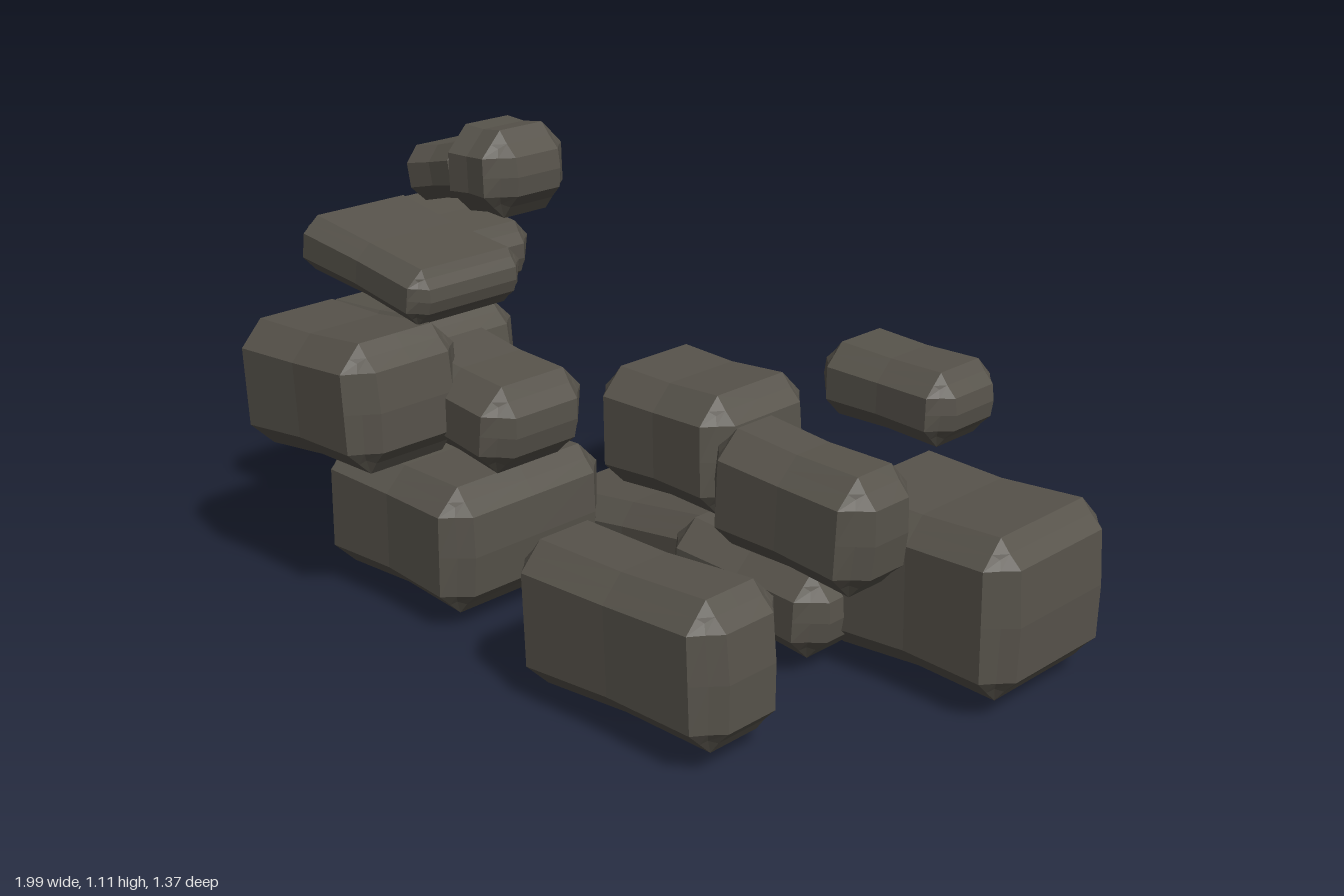
import * as THREE from 'three';

const stoneGrey = new THREE.MeshStandardMaterial({ color: 0x57534b, flatShading: true });
stoneGrey.name = 'stoneGrey';

// Chamfered block, slightly pinched across its middle and bulged at its ends
function stoneGeometry(w, h, d) {
  const half = [w / 2, h / 2, d / 2];
  const c = Math.min(0.06, Math.min(w, h, d) * 0.28);
  const g = new THREE.BoxGeometry(2, 2, 2, 4, 4, 4);
  const p = g.attributes.position;
  for (let i = 0; i < p.count; i++) {
    const grid = [p.getX(i), p.getY(i), p.getZ(i)];
    const outer = grid.filter((v) => Math.abs(v) > 0.9).length;
    const pull = [0, 0, c * 0.5, c * 0.67][outer];
    const v = grid.map((t, k) => {
      const a = Math.abs(t);
      if (a < 0.1) return 0;
      return Math.sign(t) * (a > 0.9 ? half[k] - pull : half[k] - c);
    });
    if (Math.abs(grid[0]) < 0.1) { v[1] *= 0.95; v[2] *= 0.96; }
    if (Math.abs(grid[0]) > 0.9 && Math.abs(grid[1]) > 0.1) v[0] -= Math.sign(v[0]) * 0.006;
    p.setXYZ(i, v[0], v[1], v[2]);
  }
  g.computeVertexNormals();
  return g;
}

// name, centre x y z, size x y z, roll about z in degrees
const stones = [
  ['backLeftStone', -0.395, 0.165, -0.525, 0.49, 0.25, 0.32, 0],
  ['rightEndStone', 0.73, 0.235, -0.18, 0.54, 0.38, 0.42, 1],
  ['backUpperStone', 0.435, 0.555, -0.345, 0.39, 0.18, 0.24, -1],
  ['rightUpperStone', 0.53, 0.425, 0.11, 0.46, 0.28, 0.23, -3],
  ['frontRightStone', 0.415, 0.215, 0.495, 0.61, 0.34, 0.26, 2.5],
  ['middleUpperStone', 0.08, 0.445, -0.025, 0.43, 0.29, 0.34, 1],
  ['middleBaseSlab', -0.09, 0.13, -0.125, 0.61, 0.18, 0.41, 8],
  ['rightBaseStone', 0.33, 0.15, -0.055, 0.48, 0.22, 0.38, -3],
  ['leftBaseStone', -0.41, 0.205, 0.295, 0.52, 0.32, 0.5, -1],
  ['leftFrontStone', -0.55, 0.535, 0.515, 0.5, 0.31, 0.33, 4],
  ['leftInnerStone', -0.32, 0.495, 0.285, 0.41, 0.22, 0.31, -6],
  ['leftOuterStone', -0.755, 0.49, 0.15, 0.47, 0.25, 0.34, 5],
  ['leftThirdStone', -0.765, 0.74, 0.045, 0.36, 0.17, 0.33, -9],
  ['leftTiltedSlab', -0.57, 0.795, 0.305, 0.47, 0.14, 0.34, -8],
  ['smallTopStone', -0.705, 0.945, -0.005, 0.24, 0.14, 0.27, 12],
  ['highestStone', -0.45, 1.005, 0.1, 0.24, 0.21, 0.25, 2],
];

export function createModel() {
  const rubble = new THREE.Group();
  rubble.name = 'stonePile';
  for (const [name, x, y, z, w, h, d, roll] of stones) {
    const stone = new THREE.Mesh(stoneGeometry(w, h, d), stoneGrey);
    stone.name = name;
    stone.position.set(x, y, z);
    stone.rotation.z = THREE.MathUtils.degToRad(roll);
    rubble.add(stone);
  }
  return rubble;
}
